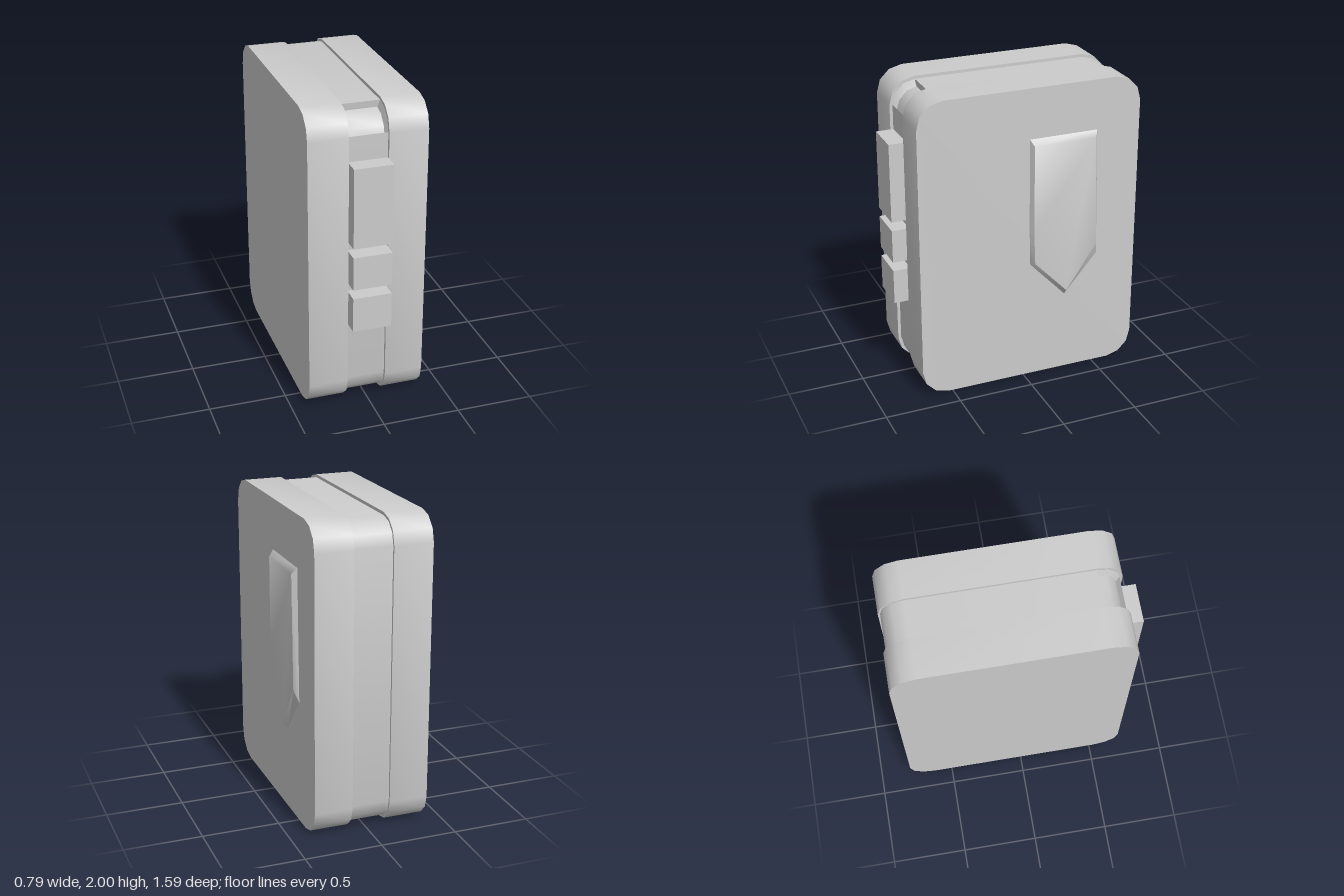
import * as THREE from 'three';
import { toCreasedNormals } from 'three/addons/utils/BufferGeometryUtils.js';

const material = new THREE.MeshStandardMaterial({ color: 0xcccccc });

// Outline points are [-z, y], anticlockwise when looking at the +x side.
function roundedOutline(zBack, zFront, yLow, yHigh, r, frontTop) {
  const pts = [];
  const centres = [
    [-zBack - r, yHigh - r], [-zFront + r, yHigh - r],
    [-zFront + r, yLow + r], [-zBack - r, yLow + r],
  ];
  centres.forEach(([u, y], k) => {
    const arc = [];
    for (let i = 0; i <= 3; i++) {
      const a = (k + i / 3) * Math.PI / 2;
      arc.push([u + r * Math.cos(a), y + r * Math.sin(a)]);
    }
    // the front top corner may get a recessed floor between its two ends
    if (k === 1 && frontTop) pts.push(arc[0], ...frontTop(arc), arc[3]);
    else pts.push(...arc);
  });
  return pts;
}

// Joins equal-length outlines placed along x; caps close both ends.
function loft(sections, caps = true) {
  const pos = [];
  const put = (s, i) => pos.push(s.x, s.pts[i][1], -s.pts[i][0]);
  const n = sections[0].pts.length;
  for (let k = 0; k + 1 < sections.length; k++) {
    const a = sections[k], b = sections[k + 1];
    for (let i = 0; i < n; i++) {
      const j = (i + 1) % n;
      put(a, i); put(a, j); put(b, j);
      put(a, i); put(b, j); put(b, i);
    }
  }
  if (caps) {
    const first = sections[0], last = sections[sections.length - 1];
    for (const [s, flip] of [[first, true], [last, false]]) {
      const contour = s.pts.map(p => new THREE.Vector2(...p));
      for (const [a, b, c] of THREE.ShapeUtils.triangulateShape(contour, [])) {
        put(s, a); put(s, flip ? c : b); put(s, flip ? b : c);
      }
    }
  }
  const g = new THREE.BufferGeometry();
  g.setAttribute('position', new THREE.Float32BufferAttribute(pos, 3));
  return toCreasedNormals(g, 0.7);
}

export function createModel() {
  const model = new THREE.Group();
  model.name = 'case';
  const add = (name, geometry) => {
    const mesh = new THREE.Mesh(geometry, material);
    mesh.name = name;
    model.add(mesh);
    return mesh;
  };

  // Two thick outer shells
  const shell = roundedOutline(-0.79, 0.70, 0, 2, 0.17);
  add('rightShell', loft([{ x: -0.395, pts: shell }, { x: -0.14, pts: shell }]));
  add('leftShell', loft([{ x: 0.11, pts: shell }, { x: 0.36, pts: shell }]));

  // Slightly inset core, with a bevelled recess in its front top corner
  const core = f => roundedOutline(-0.775, 0.68, 0.025, 1.98, 0.15, f);
  const full = core(arc => arc);
  const notched = core(() => [[-0.525, 1.935], [-0.59, 1.915], [-0.64, 1.86], [-0.658, 1.80]]);
  add('core', loft([
    { x: -0.14, pts: full }, { x: -0.125, pts: notched },
    { x: 0.095, pts: notched }, { x: 0.11, pts: full },
  ], false));

  // Front blocks
  for (const [name, low, high] of [
    ['upperBlock', 1.15, 1.67], ['middleBlock', 0.87, 1.09], ['lowerBlock', 0.58, 0.81],
  ]) {
    add(name, new THREE.BoxGeometry(0.25, high - low, 0.125))
      .position.set(-0.015, (low + high) / 2, 0.7325);
  }

  // Raised pointed plate with bevelled edges on the left side
  const outer = [[0.495, 1.67], [0.035, 1.67], [0.038, 1.05], [0.045, 0.81], [0.29, 0.55], [0.515, 0.81]];
  const inner = [[0.475, 1.63], [0.055, 1.63], [0.056, 1.05], [0.066, 0.825], [0.29, 0.59], [0.495, 0.89]];
  add('sidePlate', loft([{ x: 0.36, pts: outer }, { x: 0.392, pts: inner }]));

  return model;
}
